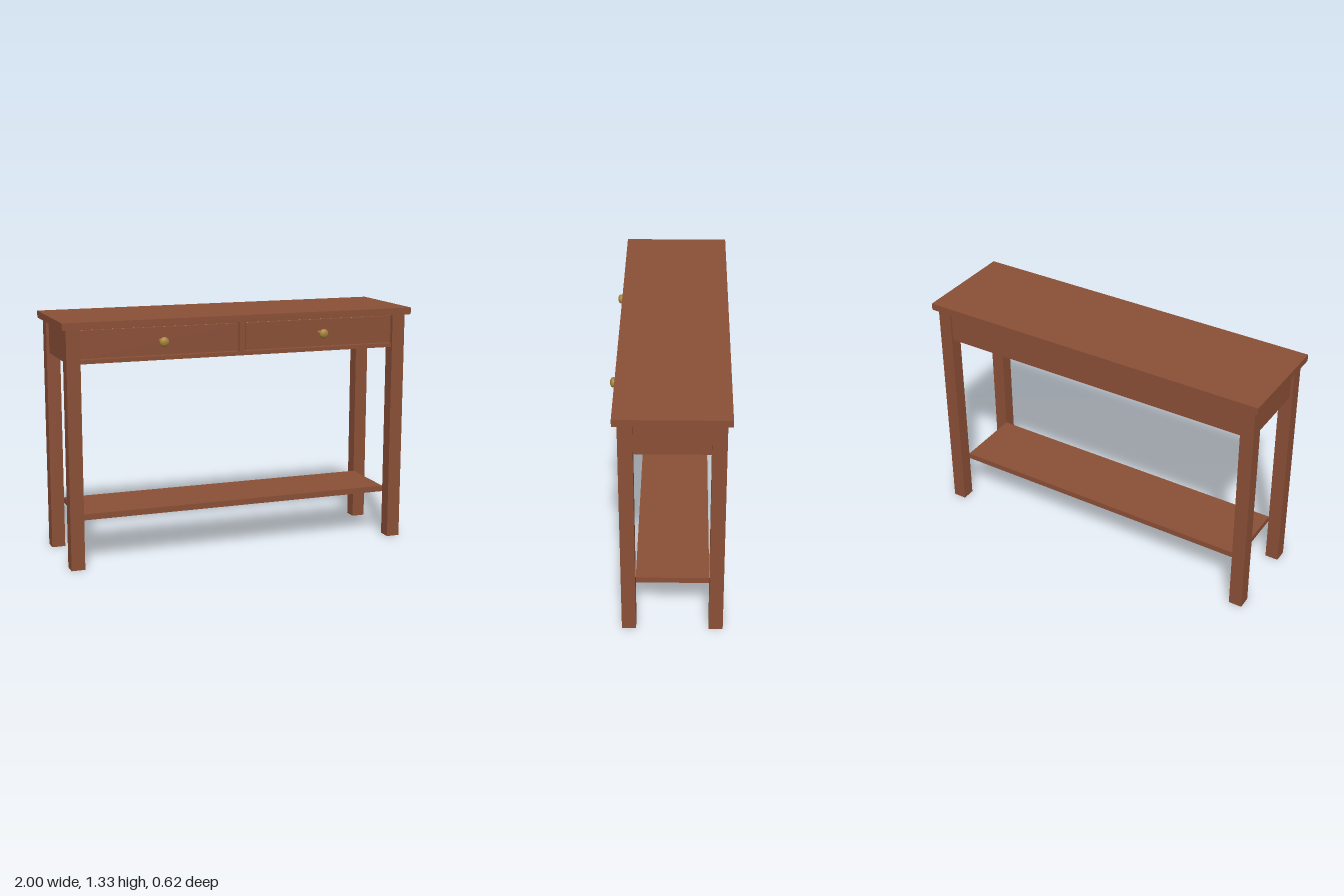
import * as THREE from 'three';

const wood = new THREE.MeshStandardMaterial({ color: 0x8a4f36 });
wood.name = 'reddish brown wood';
const pine = new THREE.MeshStandardMaterial({ color: 0xcfbf98 });
pine.name = 'pale drawer wood';
const brass = new THREE.MeshStandardMaterial({ color: 0xa58238 });
brass.name = 'brass';

// Box given by its minimum and maximum corners
function block(parent, name, material, [x0, y0, z0], [x1, y1, z1]) {
  const mesh = new THREE.Mesh(new THREE.BoxGeometry(x1 - x0, y1 - y0, z1 - z0), material);
  mesh.position.set((x0 + x1) / 2, (y0 + y1) / 2, (z0 + z1) / 2);
  mesh.name = name;
  parent.add(mesh);
  return mesh;
}

// Turned knob: tapered stem and flattened ball, axis along +z
function createKnob() {
  const points = [new THREE.Vector2(0.011, 0), new THREE.Vector2(0.008, 0.02), new THREE.Vector2(0.008, 0.044)];
  for (let i = 1; i <= 12; i++) {
    const a = Math.PI * (0.09 + 0.91 * i / 12);
    points.push(new THREE.Vector2(Math.max(0, 0.0265 * Math.sin(a)), 0.059 - 0.017 * Math.cos(a)));
  }
  const geometry = new THREE.LatheGeometry(points, 24);
  geometry.rotateX(Math.PI / 2);
  const knob = new THREE.Mesh(geometry, brass);
  knob.name = 'knob';
  return knob;
}

// Open drawer box with a wooden front and a knob, centred on x = 0
function createDrawer() {
  const drawer = new THREE.Group();
  drawer.name = 'drawer';
  const w = 0.438, front = 0.213, back = -0.235, low = 1.137, high = 1.265;
  block(drawer, 'drawerFront', wood, [-w, low, front], [w, 1.285, 0.234]);
  block(drawer, 'drawerBottom', pine, [-w + 0.005, low, back], [w - 0.005, low + 0.012, front]);
  for (const s of [-1, 1]) {
    const x = s * (w - 0.012);
    block(drawer, 'drawerSide', pine, [x - 0.007, low + 0.012, back], [x + 0.007, high, front]);
  }
  block(drawer, 'drawerBack', pine, [-w + 0.019, low + 0.012, back], [w - 0.019, high, back + 0.014]);
  const knob = createKnob();
  knob.position.set(0, 1.213, 0.234);
  drawer.add(knob);
  return drawer;
}

export function createModel() {
  const table = new THREE.Group();
  table.name = 'consoleTable';

  // Top and lower shelf
  block(table, 'tableTop', wood, [-1, 1.295, -0.31], [1, 1.333, 0.275]);
  block(table, 'shelf', wood, [-0.9, 0.252, -0.21], [0.9, 0.285, 0.175]);

  // Legs and side aprons, mirrored left and right
  for (const s of [-1, 1]) {
    const a = s < 0 ? -0.975 : 0.9;
    block(table, 'frontLeg', wood, [a, 0, 0.175], [a + 0.075, 1.295, 0.25]);
    block(table, 'backLeg', wood, [a, 0, -0.285], [a + 0.075, 1.295, -0.21]);
    const p = s * 0.943;
    block(table, 'sideApron', wood, [p - 0.017, 1.11, -0.21], [p + 0.017, 1.295, 0.175]);
  }

  // Back apron
  block(table, 'backApron', wood, [-0.9, 1.11, -0.27], [0.9, 1.295, -0.237]);

  // Front frame around the drawers
  block(table, 'lowerRail', wood, [-0.9, 1.11, 0.175], [0.9, 1.132, 0.24]);
  block(table, 'upperRail', wood, [-0.9, 1.289, 0.175], [0.9, 1.295, 0.24]);
  block(table, 'drawerDivider', wood, [-0.015, 1.132, 0.175], [0.015, 1.289, 0.24]);

  // Two drawers
  for (const s of [-1, 1]) {
    const drawer = createDrawer();
    drawer.position.x = s * 0.458;
    table.add(drawer);
  }
  return table;
}
